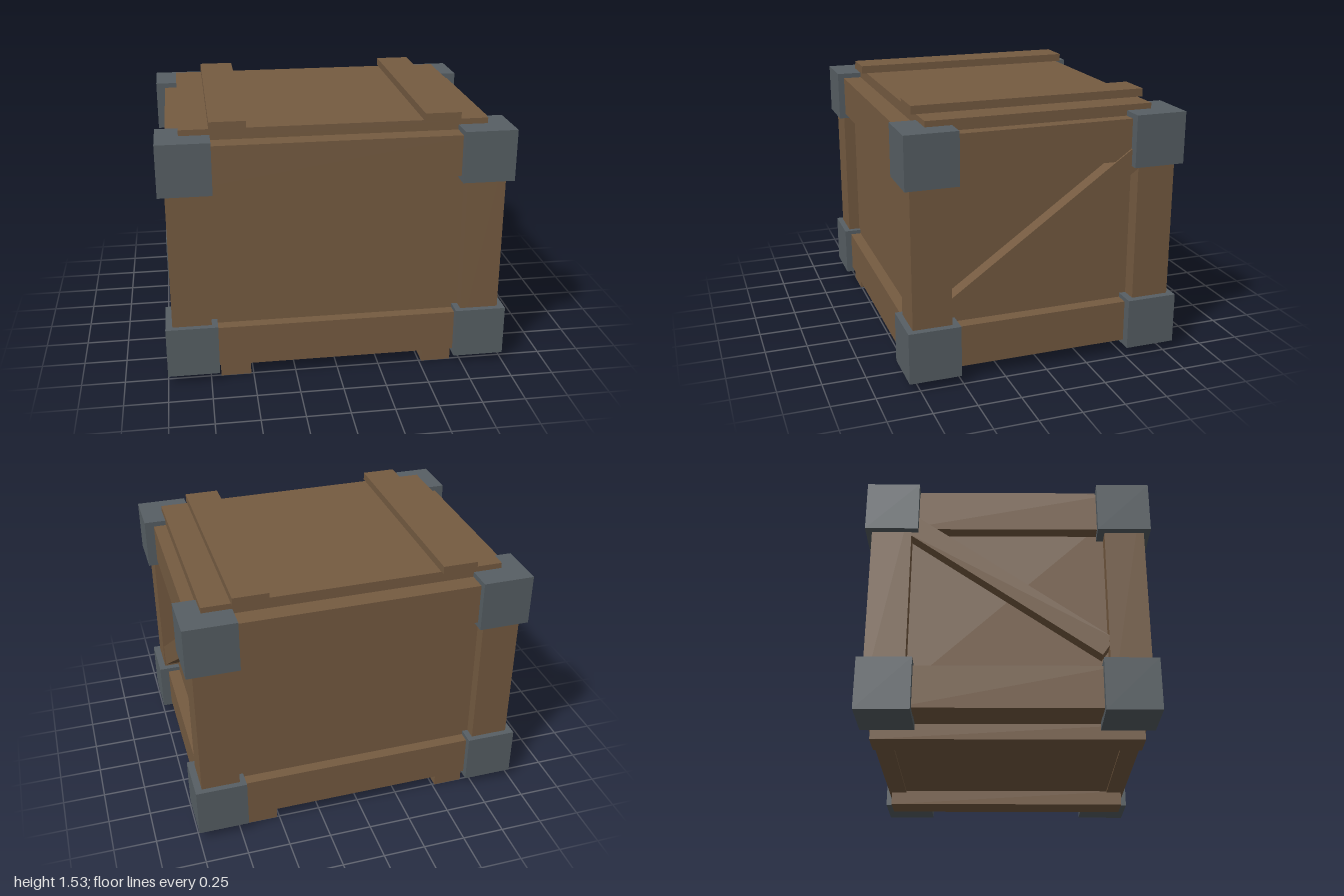
import * as THREE from 'three';

export function createModel() {
  const crate = new THREE.Group();
  crate.name = 'crate';
  const wood = new THREE.MeshStandardMaterial({ color: 0x755b41 });
  wood.name = 'brownWood';
  const metal = new THREE.MeshStandardMaterial({ color: 0x575f64 });
  metal.name = 'greyMetal';

  // Box given by its lower and upper limits on each axis
  function block(name, material, [x0, x1], [y0, y1], [z0, z1]) {
    const mesh = new THREE.Mesh(new THREE.BoxGeometry(x1 - x0, y1 - y0, z1 - z0), material);
    mesh.position.set((x0 + x1) / 2, (y0 + y1) / 2, (z0 + z1) / 2);
    mesh.name = name;
    crate.add(mesh);
    return mesh;
  }
  // Limits mirrored to side s (+1 or -1)
  const side = (s, a, b) => (s > 0 ? [a, b] : [-b, -a]);

  // Recessed body panels and lid
  block('bodyPanels', wood, [-0.87, 0.87], [0.09, 1.42], [-0.705, 0.705]);
  block('lid', wood, [-0.87, 0.87], [1.42, 1.488], [-0.66, 0.66]);

  const railHeights = [[0.08, 0.325], [1.185, 1.425]];
  const cornerHeights = [[0.05, 0.35], [1.155, 1.455]];

  for (const s of [1, -1]) {
    // Lid cleats and skids under the floor
    block('lidCleat', wood, side(s, 0.5, 0.705), [1.488, 1.535], [-0.69, 0.69]);
    block('skid', wood, side(s, 0.515, 0.69), [0, 0.09], [-0.755, 0.755]);

    // Horizontal rails on all four sides
    for (const h of railHeights) {
      block('longRail', wood, [-0.8, 0.8], h, side(s, 0.66, 0.771));
      block('sideRail', wood, side(s, 0.83, 0.945), h, [-0.6, 0.6]);
    }

    // Corner posts and metal corner caps
    for (const t of [1, -1]) {
      block('cornerPost', wood, side(s, 0.735, 0.96), [0.1, 1.4], side(t, 0.55, 0.775));
      for (const h of cornerHeights) {
        block('cornerCap', metal, side(s, 0.7, 1), h, side(t, 0.51, 0.81));
      }
    }

    // Diagonal brace, low at the front and high at the back
    const brace = block('diagonalBrace', wood, side(s, 0.86, 0.955), [0.76, 0.88], [-0.667, 0.667]);
    brace.rotation.x = 0.615;
  }
  return crate;
}
